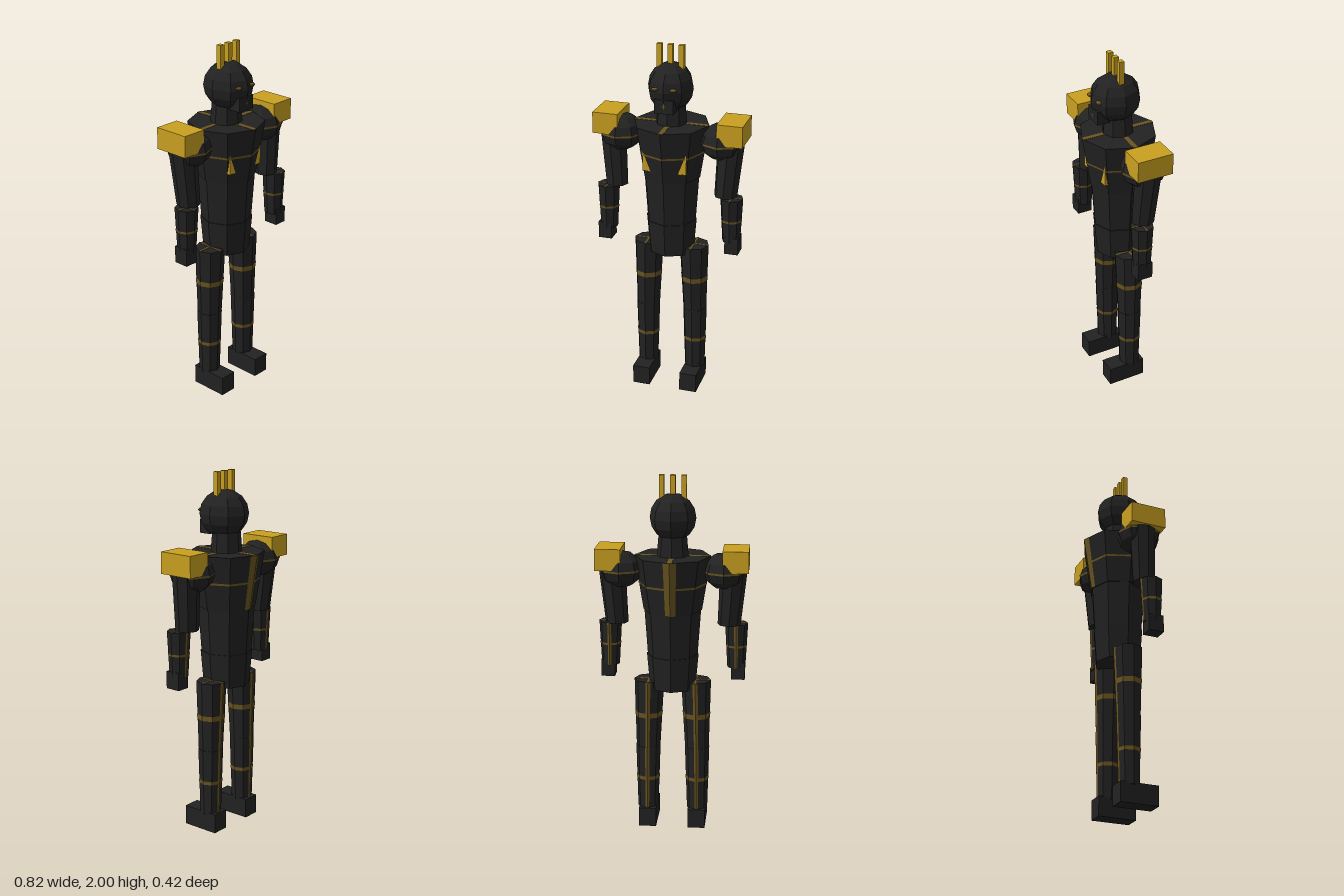
import * as THREE from 'three';

const mat = (name, color) => {
  const m = new THREE.MeshStandardMaterial({ color });
  m.name = name;
  return m;
};

export function createModel() {
  const black = mat('black armour', 0x222222);
  const gold = mat('gold', 0xc9a020);
  const dull = mat('dull gold inlay', 0x6b5520);
  const model = new THREE.Group();

  // Adds a flat-shaded mesh
  const add = (parent, name, geo, material, x = 0, y = 0, z = 0) => {
    const flat = geo.index ? geo.toNonIndexed() : geo;
    flat.computeVertexNormals();
    const mesh = new THREE.Mesh(flat, material);
    mesh.name = name;
    mesh.position.set(x, y, z);
    parent.add(mesh);
    return mesh;
  };
  const box = (parent, name, w, h, d, material, x, y, z) =>
    add(parent, name, new THREE.BoxGeometry(w, h, d), material, x, y, z);

  // Eight-sided tapered section from bottom [x, y, z, r] to top [x, y, z, r], leaning between them
  const at = (a, b, t) => a.map((v, i) => v + (b[i] - v) * t);
  const section = (parent, name, bottom, top, material = black, open = false) => {
    const h = top[1] - bottom[1];
    const geo = new THREE.CylinderGeometry(top[3], bottom[3], h, 8, 1, open);
    const p = geo.attributes.position;
    for (let i = 0; i < p.count; i++) {
      const c = at(bottom, top, p.getY(i) / h + 0.5);
      p.setXYZ(i, p.getX(i) + c[0], c[1], p.getZ(i) + c[2]);
    }
    return add(parent, name, geo, material);
  };

  // Section with a ring inlay, a folded strip down the back edge and a cross on its top
  const inlaid = (parent, name, bottom, top, ring) => {
    section(parent, name, bottom, top);
    const grow = (c) => [c[0], c[1], c[2], c[3] + 0.002];
    const half = ring / 2 / (top[1] - bottom[1]);
    section(parent, name + 'Ring', grow(at(bottom, top, 0.5 - half)), grow(at(bottom, top, 0.5 + half)), dull, true);

    const pts = [];
    for (const c of [bottom, top]) {
      const r = c[3] + 0.002;
      for (const s of [1, 0, -1]) {
        pts.push(c[0] + s * r * 0.17, c[1], c[2] - r * (1 - 0.07 * Math.abs(s)));
      }
    }
    const strip = new THREE.BufferGeometry();
    strip.setAttribute('position', new THREE.Float32BufferAttribute(pts, 3));
    strip.setIndex([0, 1, 4, 0, 4, 3, 1, 2, 5, 1, 5, 4]);
    add(parent, name + 'BackStrip', strip, dull);

    const [x, y, z, r] = top;
    box(parent, name + 'TopInlayX', r * 1.96, 0.003, r * 0.12, dull, x, y, z);
    box(parent, name + 'TopInlayZ', r * 0.12, 0.003, r * 1.96, dull, x, y, z);
  };

  // Torso
  const torso = new THREE.Group();
  torso.name = 'torso';
  model.add(torso);
  section(torso, 'pelvis', [0, 0.83, 0, 0.127], [0, 1.02, 0, 0.143]);
  section(torso, 'abdomen', [0, 1.02, 0, 0.138], [0, 1.27, 0, 0.155]);
  inlaid(torso, 'chest', [0, 1.27, 0, 0.16], [0, 1.57, 0, 0.208], 0.011);
  section(torso, 'neck', [0, 1.55, 0, 0.087], [0, 1.7, 0, 0.075]);

  // Head with eyes, mouthpiece and crest
  const head = new THREE.Group();
  head.name = 'head';
  model.add(head);
  const skull = new THREE.SphereGeometry(1, 8, 8);
  skull.scale(0.125, 0.13, 0.14);
  add(head, 'skull', skull, black, 0, 1.773, 0.015);
  box(head, 'mouthpiece', 0.104, 0.075, 0.07, black, 0, 1.697, 0.108);
  box(head, 'mouthInlayUpright', 0.005, 0.026, 0.004, dull, 0, 1.7, 0.143);
  box(head, 'mouthInlayBar', 0.022, 0.005, 0.004, dull, 0, 1.7, 0.143);
  for (const x of [-0.06, 0, 0.06]) {
    box(head, 'crestSpike', 0.028, 0.13, 0.028, gold, x, 1.935, 0.015);
  }

  for (const s of [-1, 1]) {
    const side = s > 0 ? 'left' : 'right';

    // Eye and chest plate
    const eye = new THREE.SphereGeometry(1, 8, 6);
    eye.scale(0.022, 0.01, 0.014);
    add(head, side + 'Eye', eye, dull, s * 0.05, 1.787, 0.134);
    box(torso, side + 'ChestPlate', 0.06, 0.12, 0.06, gold, s * 0.09, 1.39, 0.108);

    // Arm
    const arm = new THREE.Group();
    arm.name = side + 'Arm';
    model.add(arm);
    const ball = new THREE.SphereGeometry(1, 8, 6);
    ball.scale(0.12, 0.1, 0.12);
    add(arm, 'shoulder', ball, black, s * 0.28, 1.49, 0);
    section(arm, 'shoulderRing', [s * 0.28, 1.486, 0, 0.121], [s * 0.28, 1.496, 0, 0.121], dull, true);
    box(arm, 'pauldron', 0.14, 0.117, 0.2, gold, s * 0.342, 1.557, 0);
    section(arm, 'upperArm', [s * 0.308, 1.19, 0.015, 0.063], [s * 0.33, 1.5, 0, 0.074]);
    inlaid(arm, 'forearm', [s * 0.35, 0.94, 0.04, 0.05], [s * 0.348, 1.19, 0.04, 0.063], 0.012);
    box(arm, 'hand', 0.075, 0.095, 0.085, black, s * 0.361, 0.923, 0.043);

    // Leg
    const leg = new THREE.Group();
    leg.name = side + 'Leg';
    model.add(leg);
    inlaid(leg, 'thigh', [s * 0.137, 0.47, 0, 0.067], [s * 0.13, 0.87, 0, 0.083], 0.028);
    inlaid(leg, 'shin', [s * 0.14, 0.1, 0, 0.058], [s * 0.138, 0.48, 0, 0.069], 0.02);
    box(leg, 'foot', 0.098, 0.11, 0.215, black, s * 0.139, 0.055, 0.038);
  }
  return model;
}
